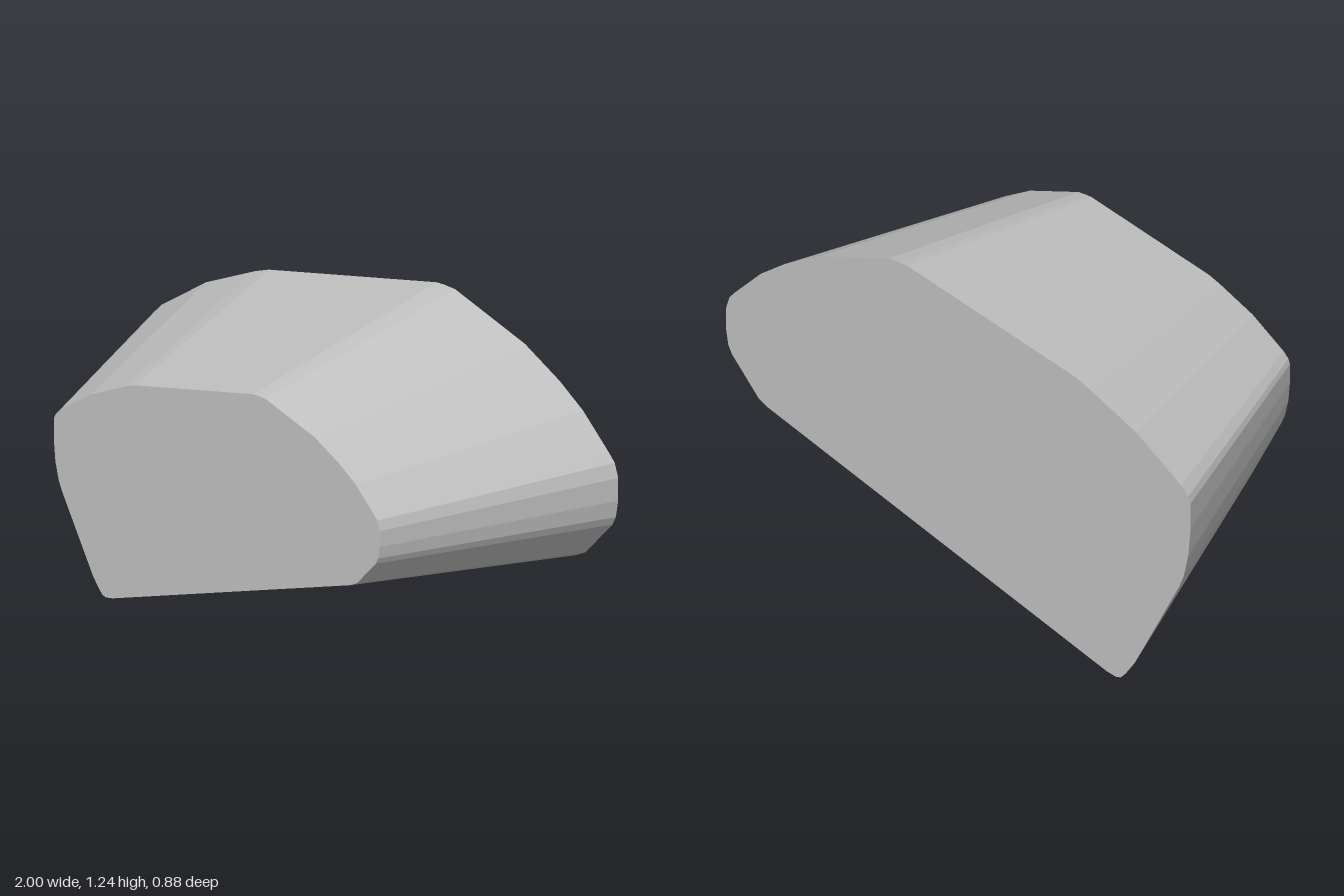
import * as THREE from 'three';

// Outline of the large rear face, counter-clockwise from the lowest corner
const OUTLINE = [
  [-0.68, 0], [-0.64, 0.005], [0.82, 0.425], [0.86, 0.445], [0.975, 0.57], [0.99, 0.6],
  [1, 0.66], [1, 0.74], [0.985, 0.79], [0.96, 0.82], [0.85, 0.94], [0.75, 1.02],
  [0.6, 1.115], [0.3, 1.235], [0.25, 1.24], [0.22, 1.24], [-0.5, 1.11], [-0.56, 1.09],
  [-0.77, 1], [-0.96, 0.875], [-0.99, 0.845], [-1, 0.82], [-1, 0.72], [-0.99, 0.61],
  [-0.97, 0.52], [-0.95, 0.47], [-0.76, 0.09], [-0.72, 0.03], [-0.7, 0.007],
];
const DEPTH = 0.88;
const TAPER = 0.7; // size of the front face relative to the rear face

export function createModel() {
  const model = new THREE.Group();
  model.name = 'taperedBlock';

  const grey = new THREE.MeshStandardMaterial({ color: 0xc0c0c0 });
  grey.name = 'light grey';

  // Extrude the outline from back to front, then shrink the front end
  const shape = new THREE.Shape(OUTLINE.map(([x, y]) => new THREE.Vector2(x, y)));
  const geometry = new THREE.ExtrudeGeometry(shape, { depth: DEPTH, bevelEnabled: false });
  const position = geometry.attributes.position;
  for (let i = 0; i < position.count; i++) {
    if (position.getZ(i) > DEPTH / 2) {
      position.setXY(i, position.getX(i) * TAPER + 0.013, position.getY(i) * TAPER + 0.22);
    }
  }
  geometry.translate(0, 0, -DEPTH / 2);
  geometry.computeVertexNormals();

  const block = new THREE.Mesh(geometry, grey);
  block.name = 'block';
  model.add(block);
  return model;
}
